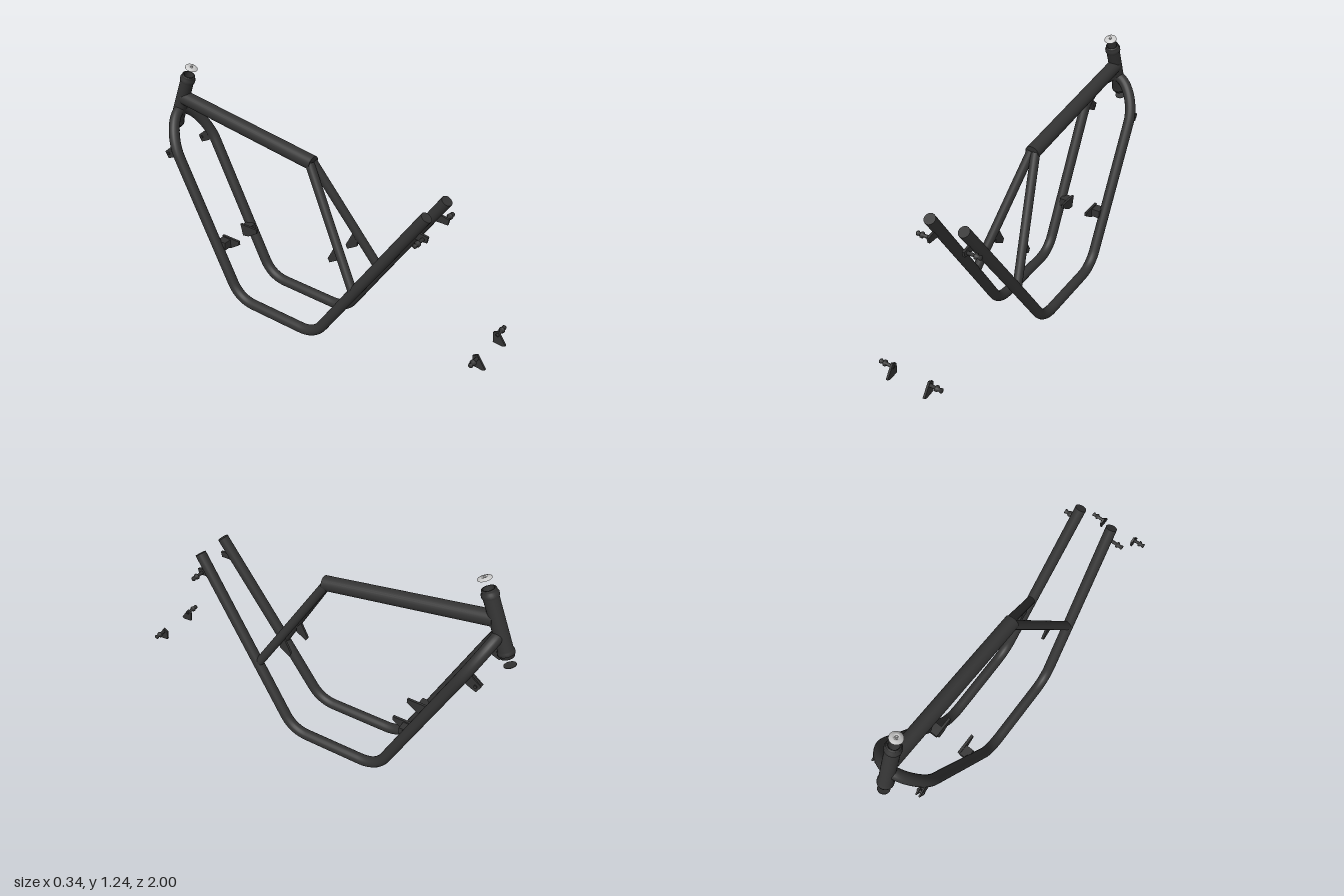
import * as THREE from 'three';

const V = (x, y, z) => new THREE.Vector3(x, y, z);
const dark = new THREE.MeshStandardMaterial({ color: 0x333333, side: THREE.DoubleSide });
const grey = new THREE.MeshStandardMaterial({ color: 0xcccccc, side: THREE.DoubleSide });

export function createModel() {
  const model = new THREE.Group();
  const add = (name, geo, mat = dark) => {
    const mesh = new THREE.Mesh(geo, mat);
    mesh.name = name;
    model.add(mesh);
    return mesh;
  };
  // turn a geometry built along y so that it runs from a towards direction d
  const aim = (geo, a, d) => {
    const q = new THREE.Quaternion().setFromUnitVectors(V(0, 1, 0), d.clone().normalize());
    return geo.applyQuaternion(q).translate(a.x, a.y, a.z);
  };
  const rod = (name, a, b, r, sides = 20) => {
    const d = b.clone().sub(a), len = d.length();
    return add(name, aim(new THREE.CylinderGeometry(r, r, len, sides).translate(0, len / 2, 0), a, d));
  };
  const lathe = (pts, sides = 28) =>
    new THREE.LatheGeometry(pts.map(([r, y]) => new THREE.Vector2(r, y)), sides);
  // flat plate: side outline as [z, y] pairs, between x0 and x1
  const plate = (name, pts, x0, x1) => {
    const shape = new THREE.Shape(pts.map(([z, y]) => new THREE.Vector2(z, y)));
    const geo = new THREE.ExtrudeGeometry(shape, { depth: Math.abs(x1 - x0), bevelEnabled: false });
    return add(name, geo.rotateY(-Math.PI / 2).translate(Math.max(x0, x1), 0, 0));
  };

  // double cradle: one continuous rail from rear end to rear end
  const R = 0.028;
  const downZ = (y) => -0.435 - (y - 0.04) * 0.495;
  const onDown = (x, y) => V(x, y, downZ(y));
  const side = (s) => {
    const pts = [V(s * 0.09, 0.905, 0.64), V(s * 0.12, 0.37, 0.29), V(s * 0.138, 0.033, 0.072),
      V(s * 0.138, 0.038, downZ(0.038)), onDown(s * 0.138, 0.78)];
    const cuts = [0, 0.06, 0.09, 0.1, 0];
    const curves = [];
    let from = pts[0];
    for (let i = 1; i < 4; i++) {
      const p = pts[i];
      const before = p.clone().add(pts[i - 1].clone().sub(p).setLength(cuts[i]));
      const after = p.clone().add(pts[i + 1].clone().sub(p).setLength(cuts[i]));
      curves.push(new THREE.LineCurve3(from, before), new THREE.QuadraticBezierCurve3(before, p, after));
      from = after;
    }
    curves.push(new THREE.LineCurve3(from, pts[4]));
    curves.push(new THREE.CubicBezierCurve3(pts[4], onDown(s * 0.138, 0.88), onDown(s * 0.06, 0.985), onDown(0, 0.985)));
    return curves;
  };
  const reversed = (c) => {
    if (c.isLineCurve3) return new THREE.LineCurve3(c.v2, c.v1);
    if (c.isQuadraticBezierCurve3) return new THREE.QuadraticBezierCurve3(c.v2, c.v1, c.v0);
    return new THREE.CubicBezierCurve3(c.v3, c.v2, c.v1, c.v0);
  };
  const path = new THREE.CurvePath();
  path.curves = [...side(1), ...side(-1).reverse().map(reversed)];
  add('cradleRail', new THREE.TubeGeometry(path, 320, R, 18, false));

  // top tube
  rod('topTube', V(0, 0.925, -0.035), V(0, 1.055, -0.87), 0.037, 28);

  // steering head with rolled collars at both ends, hollow inside
  const bottom = V(0, 0.885, -0.952), top = V(0, 1.19, -0.825);
  const axis = top.clone().sub(bottom), L = axis.length();
  add('headTube', aim(lathe([
    [0.024, 0], [0.032, 0], [0.032, 0.012], [0.039, 0.016], [0.039, 0.032], [0.035, 0.037],
    [0.035, L - 0.042], [0.039, L - 0.036], [0.039, L - 0.02], [0.032, L - 0.015],
    [0.034, L - 0.006], [0.032, L], [0.024, L], [0.024, 0],
  ]), bottom, axis));

  // loose head cap above and washer below
  add('headCap', aim(lathe([[0.032, 0], [0.031, 0.004], [0.018, 0.009], [0.013, 0.01], [0.012, 0.006], [0, 0.006]]),
    V(0, 1.23, -0.803), axis), grey);
  add('headCapBolt', aim(new THREE.CylinderGeometry(0.007, 0.007, 0.01, 6).translate(0, 0.009, 0),
    V(0, 1.23, -0.803), axis), grey);
  add('headWasher', aim(new THREE.CylinderGeometry(0.029, 0.029, 0.003, 28), V(0, 0.846, -0.97), axis));

  // bobbin pin pointing outwards along x
  const pin = (name, s, y, z) => add(name, aim(lathe([
    [0, 0], [0.009, 0], [0.008, 0.04], [0.015, 0.043], [0.015, 0.052], [0.009, 0.056],
    [0.009, 0.066], [0.012, 0.069], [0.011, 0.075], [0, 0.076],
  ], 14), V(s * 0.096, y, z), V(s, 0, 0)));

  for (const s of [1, -1]) {
    const n = s > 0 ? 'left' : 'right';
    // rail end plug
    const end = V(s * 0.09, 0.905, 0.64), dir = end.clone().sub(V(s * 0.12, 0.37, 0.29));
    add(n + 'RailEnd', aim(new THREE.CylinderGeometry(R, R, 0.002, 18), end, dir));

    // seat stay
    rod(n + 'SeatStay', V(s * 0.122, 0.375, 0.292), V(s * 0.012, 0.925, -0.047), 0.023);

    // rear upper tab and pin
    plate(n + 'RearTab', [[0.66, 0.815], [0.575, 0.83], [0.56, 0.785], [0.655, 0.785]], s * 0.088, s * 0.1);
    pin(n + 'RearPin', s, 0.798, 0.635);

    // loose dropout plate and pin
    plate(n + 'Dropout', [[1, 0.25], [0.955, 0.315], [0.932, 0.3], [0.937, 0.247], [0.985, 0.242]], s * 0.097, s * 0.108);
    pin(n + 'DropoutPin', s, 0.295, 0.955);

    // seat stay bracket
    plate(n + 'StayBracket', [[0.16, 0.58], [0.113, 0.485], [0.124, 0.465], [0.18, 0.5], [0.185, 0.55]], s * 0.07, s * 0.082);

    // forked tab with cross bolt on the upper down tube
    for (const x of [0.114, 0.132])
      plate(n + 'FrontTab', [[-0.835, 0.845], [-0.905, 0.79], [-0.885, 0.755], [-0.86, 0.765], [-0.81, 0.79]], s * x, s * (x + 0.007));
    rod(n + 'FrontTabBolt', V(s * 0.107, 0.785, -0.88), V(s * 0.145, 0.785, -0.88), 0.008, 10);

    // lower down tube mount: inner plate and arm
    plate(n + 'MountPlate', [[-0.475, 0.355], [-0.475, 0.332], [-0.535, 0.293], [-0.575, 0.286], [-0.59, 0.355]], s * 0.067, s * 0.08);
    add(n + 'MountArm', new THREE.BoxGeometry(0.05, 0.045, 0.055).translate(s * 0.1, 0.325, -0.56));
  }
  return model;
}
